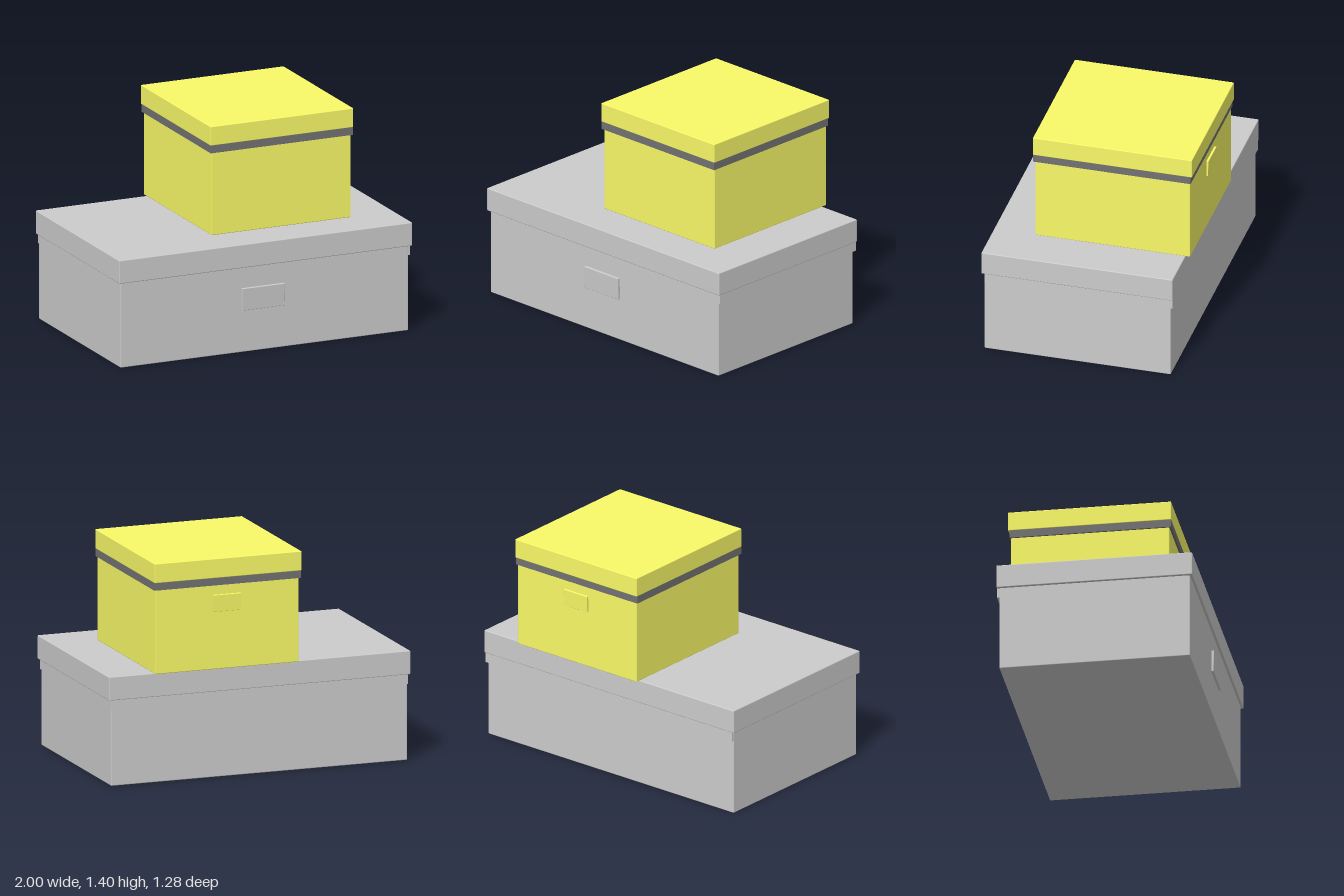
import * as THREE from 'three';
import { RoundedBoxGeometry } from 'three/addons/geometries/RoundedBoxGeometry.js';

const grey = new THREE.MeshStandardMaterial({ color: 0xcccccc });
const yellow = new THREE.MeshStandardMaterial({ color: 0xfafa68 });
const darkGrey = new THREE.MeshStandardMaterial({ color: 0x727272 });

// Box given by its limits on each axis, with finely softened edges when radius > 0
function block(name, material, [x0, x1], [y0, y1], [z0, z1], radius = 0) {
  const size = [x1 - x0, y1 - y0, z1 - z0];
  const geometry = radius > 0
    ? new RoundedBoxGeometry(...size, 2, radius)
    : new THREE.BoxGeometry(...size);
  const mesh = new THREE.Mesh(geometry, material);
  mesh.name = name;
  mesh.position.set((x0 + x1) / 2, (y0 + y1) / 2, (z0 + z1) / 2);
  return mesh;
}

function group(name, ...parts) {
  const g = new THREE.Group();
  g.name = name;
  g.add(...parts);
  return g;
}

export function createModel() {
  // Large box: the rim band sits slightly off centre, towards +x and -z
  const largeLabel = block('largeBoxLabelPlate', grey, [-0.16, 0.13], [0.27, 0.413], [0.618, 0.636], 0.003);
  largeLabel.rotation.x = 0.03;
  const largeBox = group('largeBox',
    block('largeBoxBody', grey, [-0.985, 0.98], [0, 0.6], [-0.575, 0.62], 0.006),
    block('largeBoxRimBand', grey, [-0.983, 0.99], [0.485, 0.56], [-0.59, 0.618]),
    block('largeBoxLid', grey, [-1, 1], [0.546, 0.697], [-0.592, 0.636], 0.006),
    largeLabel);

  // Small box standing on the large lid, turned so its label faces the back
  const smallLabel = block('smallBoxLabelPlate', yellow, [0.14, 0.327], [1.063, 1.17], [-0.635, -0.62], 0.002);
  smallLabel.rotation.x = -0.03;
  const smallBox = group('smallBox',
    block('smallBoxBody', yellow, [-0.247, 0.704], [0.697, 1.3], [-0.623, 0.371], 0.005),
    block('smallBoxRimBand', darkGrey, [-0.258, 0.713], [1.23, 1.285], [-0.629, 0.383]),
    block('smallBoxLid', yellow, [-0.26, 0.715], [1.278, 1.402], [-0.638, 0.384], 0.005),
    smallLabel);

  return group('stackedStorageBoxes', largeBox, smallBox);
}
